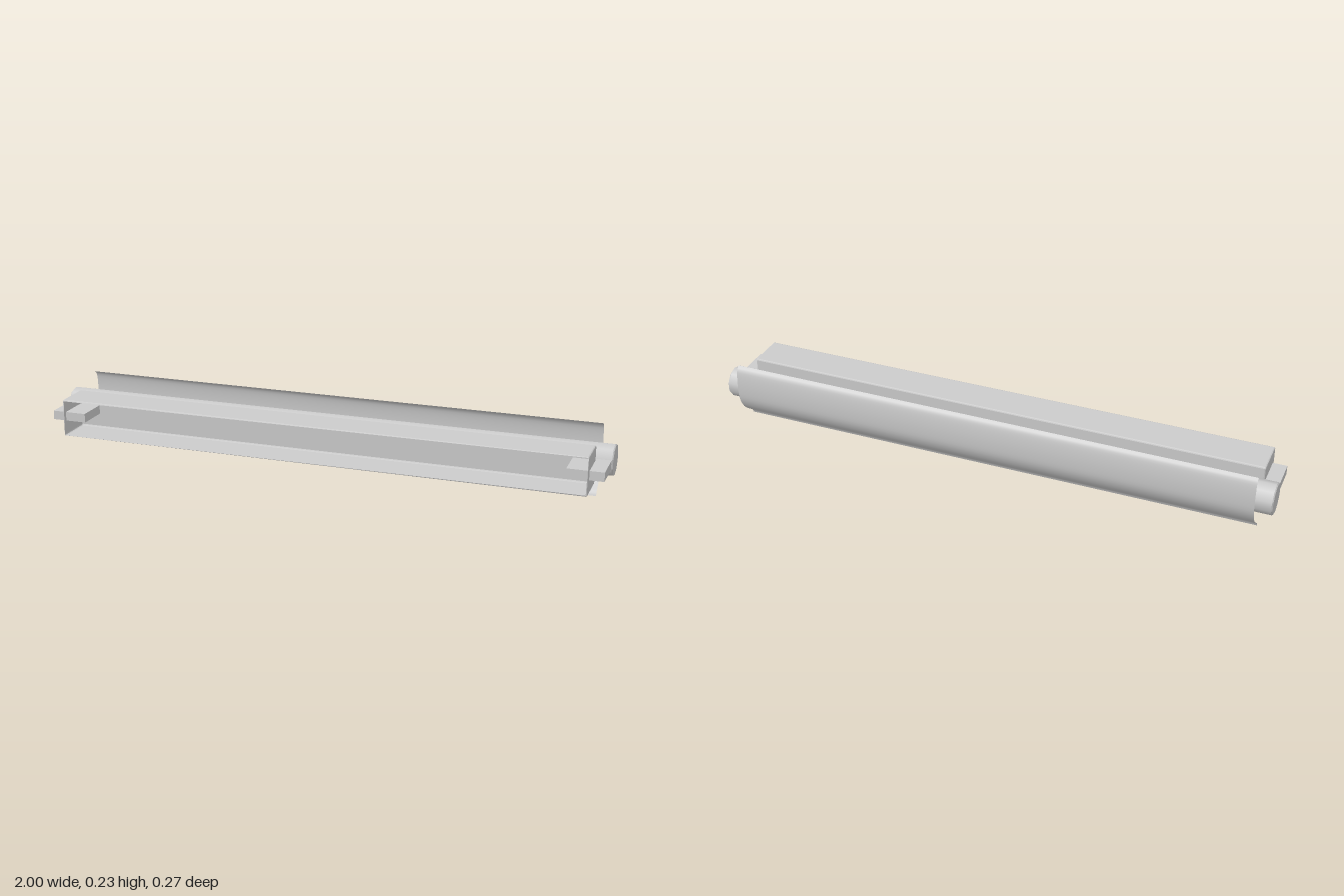
import * as THREE from 'three';
import { RoundedBoxGeometry } from 'three/addons/geometries/RoundedBoxGeometry.js';

const smooth = new THREE.MeshStandardMaterial({ color: 0xcccccc, side: THREE.DoubleSide });
const flat = new THREE.MeshStandardMaterial({ color: 0xcccccc, side: THREE.DoubleSide, flatShading: true });

function add(parent, name, geometry, material, x = 0, y = 0, z = 0) {
  const mesh = new THREE.Mesh(geometry, material);
  mesh.name = name;
  mesh.position.set(x, y, z);
  parent.add(mesh);
  return mesh;
}

// Chamfered box with its +z face left out
function openBox(w, h, d, chamfer) {
  const src = new RoundedBoxGeometry(w, h, d, 1, chamfer).toNonIndexed().getAttribute('position');
  const kept = [];
  for (let i = 0; i < src.count; i += 3) {
    const cz = (src.getZ(i) + src.getZ(i + 1) + src.getZ(i + 2)) / 3;
    if (cz > d / 2 - 0.0005) continue;
    for (let k = i; k < i + 3; k++) kept.push(src.getX(k), src.getY(k), src.getZ(k));
  }
  const g = new THREE.BufferGeometry();
  g.setAttribute('position', new THREE.Float32BufferAttribute(kept, 3));
  g.computeVertexNormals();
  return g;
}

// Thin sheet: a (z, y) profile swept along x
function sheet(profile, width, steps) {
  const pts = new THREE.SplineCurve(profile.map(([z, y]) => new THREE.Vector2(z, y))).getPoints(steps);
  const g = new THREE.PlaneGeometry(width, 1, 1, steps);
  const pos = g.getAttribute('position');
  for (let i = 0; i < pos.count; i++) {
    const p = pts[Math.floor(i / 2)];
    pos.setXYZ(i, -pos.getX(i), p.y, p.x);
  }
  g.computeVertexNormals();
  return g;
}

// Ten-sided cylinder lying along x, with a vertex at the top
function rod(rPlus, rMinus, length, open) {
  return new THREE.CylinderGeometry(rPlus, rMinus, length, 10, 1, open, Math.PI / 2).rotateZ(-Math.PI / 2).rotateX(Math.PI);
}

export function createModel() {
  const model = new THREE.Group();
  model.name = 'rollerAssembly';

  // Trough, open at the front
  add(model, 'trough', openBox(1.89, 0.135, 0.135, 0.005), flat, 0, 0.129, 0.069);

  // Roller with small chamfers at its ends
  const roller = new THREE.Group();
  roller.name = 'roller';
  roller.position.set(0, 0.13, -0.062);
  model.add(roller);
  add(roller, 'rollerBody', rod(0.055, 0.055, 1.992, true), smooth);
  for (const s of [-1, 1]) {
    const end = add(roller, 'rollerEnd', rod(0.052, 0.055, 0.004, false), flat, s * 0.998);
    if (s < 0) end.rotation.y = Math.PI;
  }

  // Brackets joining the trough ends to the roller
  for (const s of [-1, 1]) {
    add(model, 'endBracket', new THREE.BoxGeometry(0.125, 0.032, 0.128), flat, s * 0.932, 0.129, 0.052);
  }

  // Curved guard behind and below the roller
  const profile = [
    [-0.117, 0.235], [-0.13, 0.222], [-0.136, 0.19], [-0.137, 0.145],
    [-0.131, 0.1], [-0.11, 0.06], [-0.08, 0.032], [-0.058, 0.015], [-0.05, 0],
  ];
  add(model, 'rearGuard', sheet(profile, 1.89, 24), smooth);

  return model;
}
